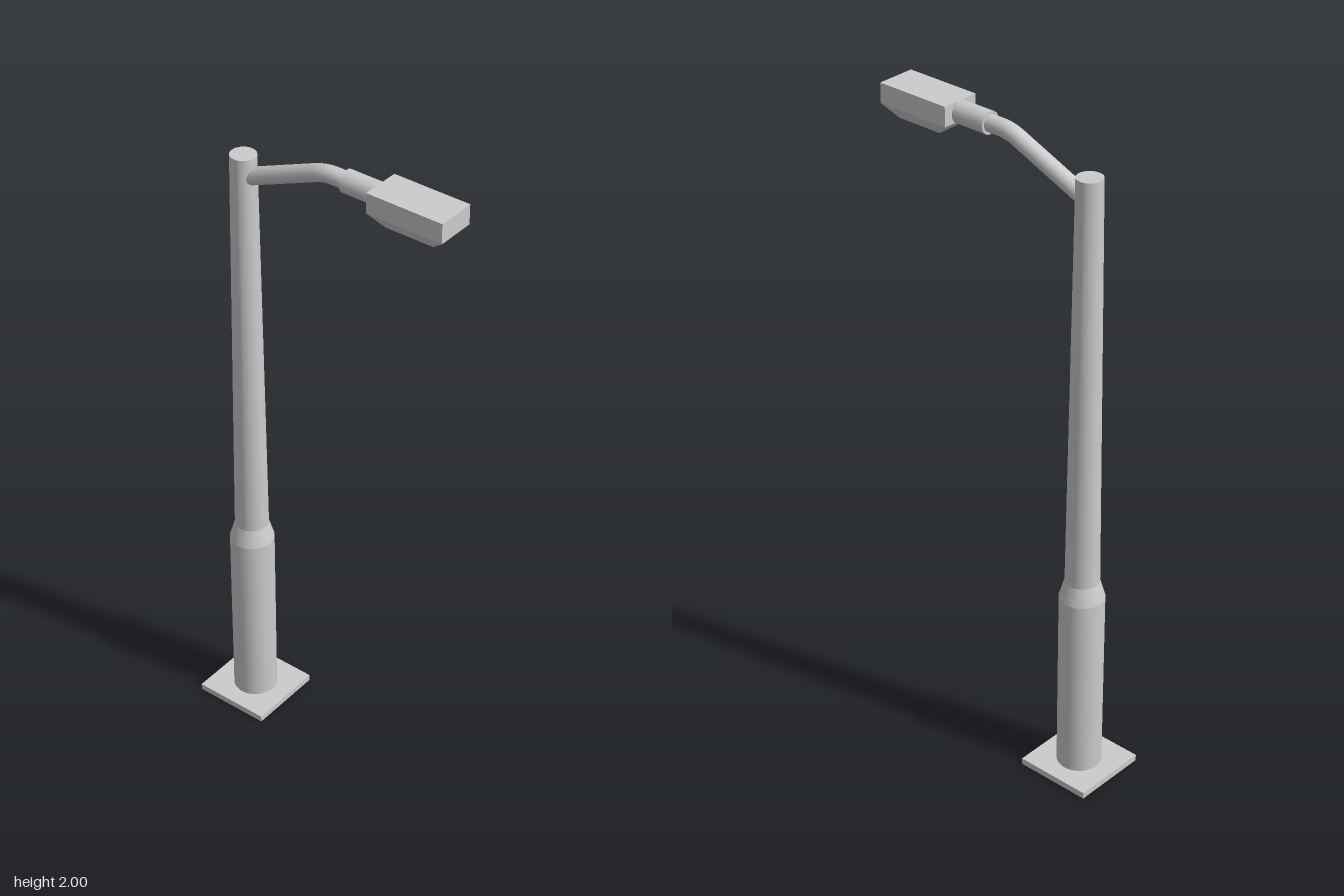
import * as THREE from 'three';
import { toCreasedNormals, mergeVertices } from 'three/addons/utils/BufferGeometryUtils.js';

const material = new THREE.MeshStandardMaterial({ color: 0xcccccc });
const POLE_Z = -0.29;

function addPart(group, name, geometry, x = 0, y = 0, z = 0) {
  const mesh = new THREE.Mesh(geometry, material);
  mesh.name = name;
  mesh.position.set(x, y, z);
  group.add(mesh);
  return mesh;
}

// Box whose bottom face is shrunk to the given width and depth
function taperedBox(width, height, depth, bottomWidth, bottomDepth) {
  const geometry = new THREE.BoxGeometry(width, height, depth).toNonIndexed();
  const p = geometry.attributes.position;
  for (let i = 0; i < p.count; i++) {
    if (p.getY(i) < 0) {
      p.setX(i, p.getX(i) * bottomWidth / width);
      p.setZ(i, p.getZ(i) * bottomDepth / depth);
    }
  }
  geometry.computeVertexNormals();
  return geometry;
}

export function createModel() {
  const group = new THREE.Group();
  group.name = 'streetLamp';

  // Square foot plate
  addPart(group, 'basePlate', new THREE.BoxGeometry(0.24, 0.02, 0.24), 0, 0.01, POLE_Z);

  // Pole: wide lower section, shoulder, tapering shaft and flat cap
  const profile = [[0, 0.02], [0.067, 0.02], [0.067, 0.605], [0.051, 0.66], [0.038, 1.92], [0, 1.92]]
    .map(([r, y]) => new THREE.Vector2(r, y));
  addPart(group, 'pole', toCreasedNormals(new THREE.LatheGeometry(profile, 32), 0.24), 0, 0, POLE_Z);

  // Arm: rises straight from the pole, then bends level into the collar
  const start = new THREE.Vector3(0, 1.852, POLE_Z + 0.005);
  const bendStart = new THREE.Vector3(0, 1.953, -0.045);
  const bendEnd = new THREE.Vector3(0, 1.967, 0.02);
  const path = new THREE.CurvePath();
  path.add(new THREE.LineCurve3(start, bendStart));
  path.add(new THREE.QuadraticBezierCurve3(bendStart, new THREE.Vector3(0, 1.967, -0.012), bendEnd));
  path.add(new THREE.LineCurve3(bendEnd, new THREE.Vector3(0, 1.967, 0.08)));
  addPart(group, 'arm', new THREE.TubeGeometry(path, 40, 0.025, 20, false));

  // Collar joining the arm to the lamp head
  addPart(group, 'collar', new THREE.CylinderGeometry(0.033, 0.033, 0.12, 20).rotateX(Math.PI / 2), 0, 1.967, 0.118);

  // Lamp head: rectangular housing above a tapered lens
  addPart(group, 'lampHousing', new THREE.BoxGeometry(0.12, 0.06, 0.24), 0, 1.97, 0.287);
  addPart(group, 'lampLens', taperedBox(0.12, 0.038, 0.24, 0.07, 0.15), 0, 1.921, 0.287);

  return group;
}
